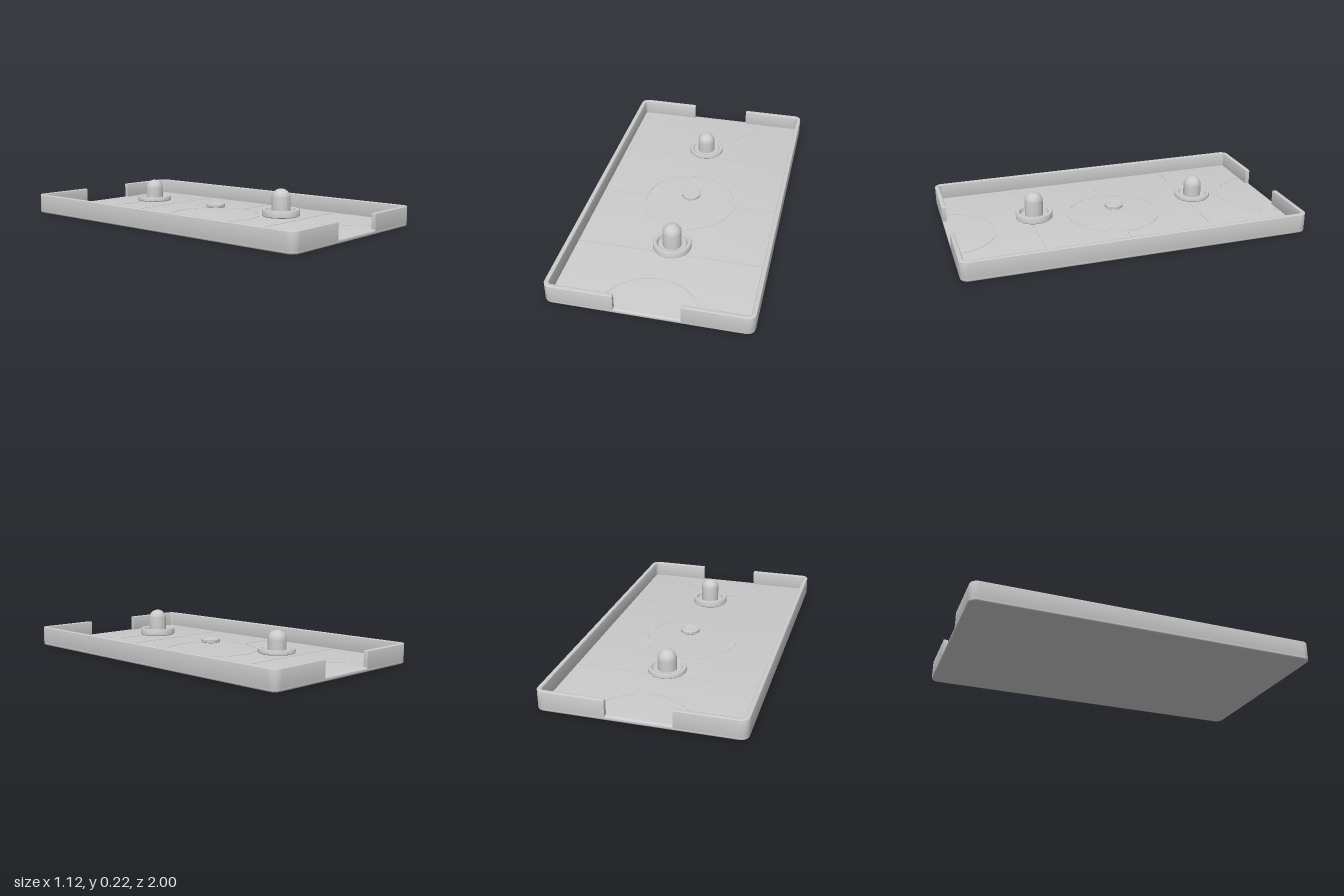
import * as THREE from 'three';
import { toCreasedNormals } from 'three/addons/utils/BufferGeometryUtils.js';

const W = 0.56, L = 1, R = 0.045, T = 0.025, GOAL = 0.18;
const FLOOR = 0.025, WALL_TOP = 0.115;

export function createModel() {
  const model = new THREE.Group();
  model.name = 'airHockeyTable';
  const grey = new THREE.MeshStandardMaterial({ color: 0xcccccc });

  const add = (name, geometry, parent = model) => {
    const mesh = new THREE.Mesh(geometry, grey);
    mesh.name = name;
    parent.add(mesh);
    return mesh;
  };

  // Extrudes a plan shape upward from y0 to y1 with a rounded edge
  const slab = (shape, y0, y1, bevel) => {
    const g = new THREE.ExtrudeGeometry(shape, {
      depth: y1 - y0 - 2 * bevel, curveSegments: 10, bevelEnabled: bevel > 0,
      bevelThickness: bevel, bevelSize: bevel, bevelOffset: -bevel, bevelSegments: 3,
    });
    g.rotateX(-Math.PI / 2).translate(0, y0 + bevel, 0);
    return toCreasedNormals(g, 0.6);
  };

  // Rounded base whose top is the playing surface
  const base = new THREE.Shape();
  base.moveTo(W, -L + R);
  [[W, L, 0], [-W, L, 1], [-W, -L, 2], [W, -L, 3]].forEach(([x, y, i]) => {
    base.absarc(x - Math.sign(x) * R, y - Math.sign(y) * R, R, i * Math.PI / 2, (i + 1) * Math.PI / 2, false);
  });
  add('tableBase', slab(base, 0, FLOOR, 0.009));

  // C-shaped side walls, leaving a goal opening at each end
  const wall = new THREE.Shape();
  wall.moveTo(GOAL, -L);
  wall.lineTo(W - R, -L);
  wall.absarc(W - R, -L + R, R, -Math.PI / 2, 0, false);
  wall.absarc(W - R, L - R, R, 0, Math.PI / 2, false);
  wall.lineTo(GOAL, L);
  wall.lineTo(GOAL, L - T);
  wall.lineTo(W - R, L - T);
  wall.absarc(W - R, L - R, R - T, Math.PI / 2, 0, true);
  wall.absarc(W - R, -L + R, R - T, 0, -Math.PI / 2, true);
  wall.lineTo(GOAL, -L + T);
  wall.closePath();
  const wallGeometry = slab(wall, 0.01, WALL_TOP, 0.004);
  add('leftWall', wallGeometry);
  add('rightWall', wallGeometry).rotation.y = Math.PI;

  // Court markings, barely raised above the floor
  const LINE = 0.01, ARC = 0.27, MARK = 0.002;
  const strip = (name, x0, x1, z) => {
    const g = new THREE.BoxGeometry(x1 - x0, MARK, LINE);
    add(name, g.translate((x0 + x1) / 2, FLOOR + MARK / 2, z));
  };
  const inner = W - T;
  strip('frontLine', -inner, inner, 0.5);
  strip('backLine', -inner, inner, -0.5);
  strip('centreLineRight', -inner, -ARC, 0);
  strip('centreLineLeft', ARC, inner, 0);

  const arc = (name, z, start, sweep) => {
    const s = new THREE.Shape();
    const a = ARC - LINE / 2, b = ARC + LINE / 2;
    s.absarc(0, 0, b, start, start + sweep, false);
    s.absarc(0, 0, a, start + sweep, start, true);
    const g = new THREE.ExtrudeGeometry(s, { depth: MARK, bevelEnabled: false, curveSegments: 40 });
    add(name, g.rotateX(-Math.PI / 2).translate(0, FLOOR, z));
  };
  arc('centreCircleBack', 0, 0, Math.PI);
  arc('centreCircleFront', 0, Math.PI, Math.PI);
  arc('frontGoalArc', 0.99, 0, Math.PI);
  arc('backGoalArc', -0.99, Math.PI, Math.PI);

  const lathe = (points) =>
    toCreasedNormals(new THREE.LatheGeometry(points.map(([x, y]) => new THREE.Vector2(x, y)), 48), 0.6);

  // Mallet: dished disc with a domed knob
  const mallet = (name, x, y, z, rim, top) => {
    const k = 0.053, dish = rim * 0.45;
    const profile = [
      [0, 0], [0.103, 0], [0.107, 0.004], [0.107, rim - 0.005], [0.105, rim - 0.001], [0.102, rim],
      [0.09, rim], [0.086, rim - 0.002], [0.084, rim - 0.006], [0.077, dish], [k, dish],
    ];
    for (let i = 0; i <= 12; i++) {
      const t = (i / 12) * Math.PI / 2;
      profile.push([i === 12 ? 0 : k * Math.cos(t), top - k + k * Math.sin(t)]);
    }
    add(name, lathe(profile)).position.set(x, y, z);
  };
  mallet('frontMallet', 0.012, 0.067, 0.49, 0.041, 0.156);
  mallet('backMallet', -0.004, 0.067, -0.515, 0.027, 0.129);

  // Puck with a raised rim, hovering over the centre spot
  add('puck', lathe([
    [0, 0], [0.052, 0], [0.055, 0.003], [0.055, 0.019], [0.052, 0.022],
    [0.045, 0.022], [0.043, 0.019], [0, 0.019],
  ])).position.set(0.01, 0.069, 0);

  return model;
}
